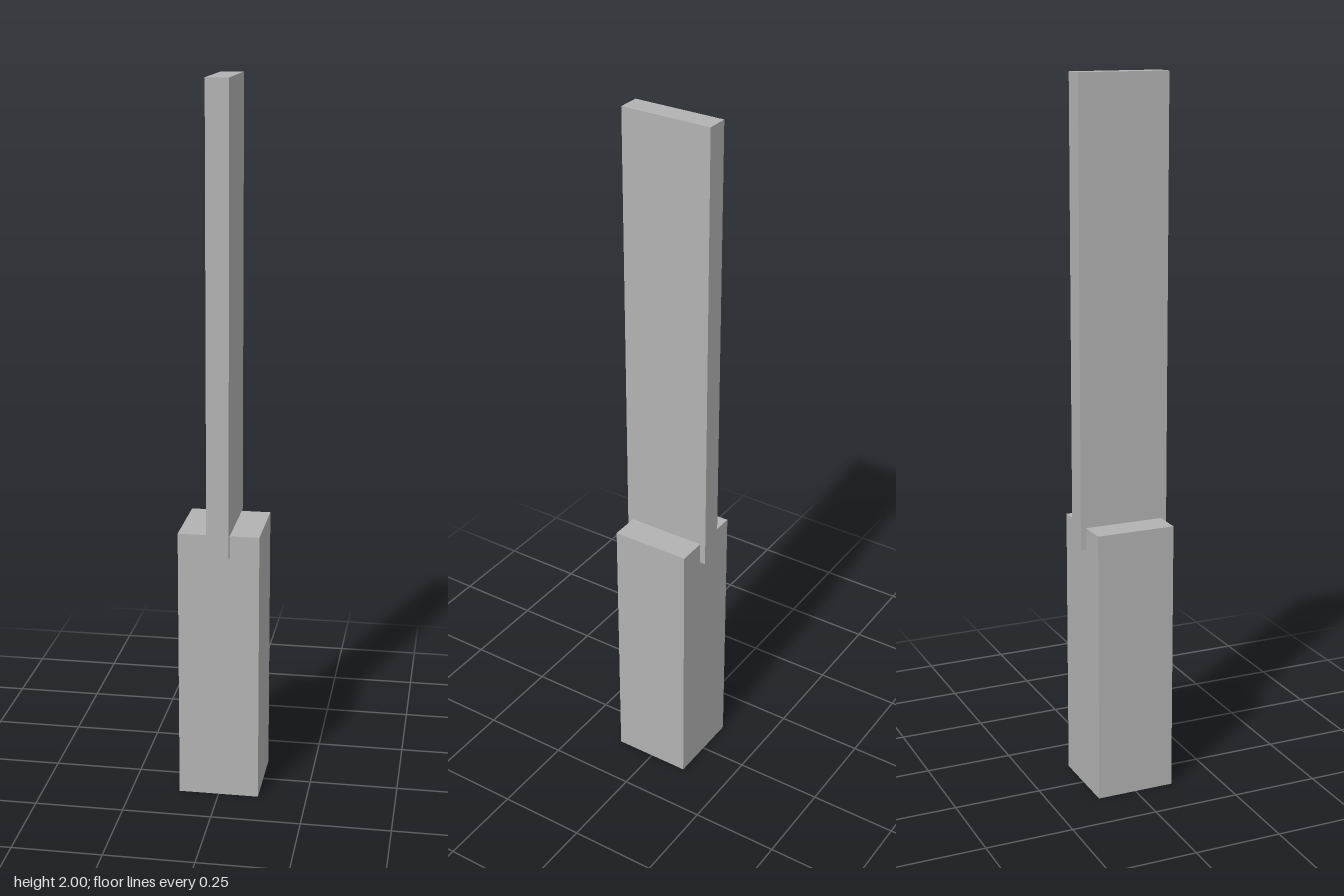
import * as THREE from 'three';

export function createModel() {
  const group = new THREE.Group();
  const grey = new THREE.MeshStandardMaterial({ color: 0xb2b2b2 });
  grey.name = 'grey';

  // Box from its width, depth and vertical extent
  const addBlock = (name, width, depth, bottom, top) => {
    const mesh = new THREE.Mesh(new THREE.BoxGeometry(width, top - bottom, depth), grey);
    mesh.name = name;
    mesh.position.y = (bottom + top) / 2;
    group.add(mesh);
  };

  // Square post below
  addBlock('handle', 0.226, 0.226, 0, 0.777);
  // Thin slab sunk into the post, slightly deeper than it
  addBlock('blade', 0.062, 0.259, 0.715, 2);

  return group;
}
